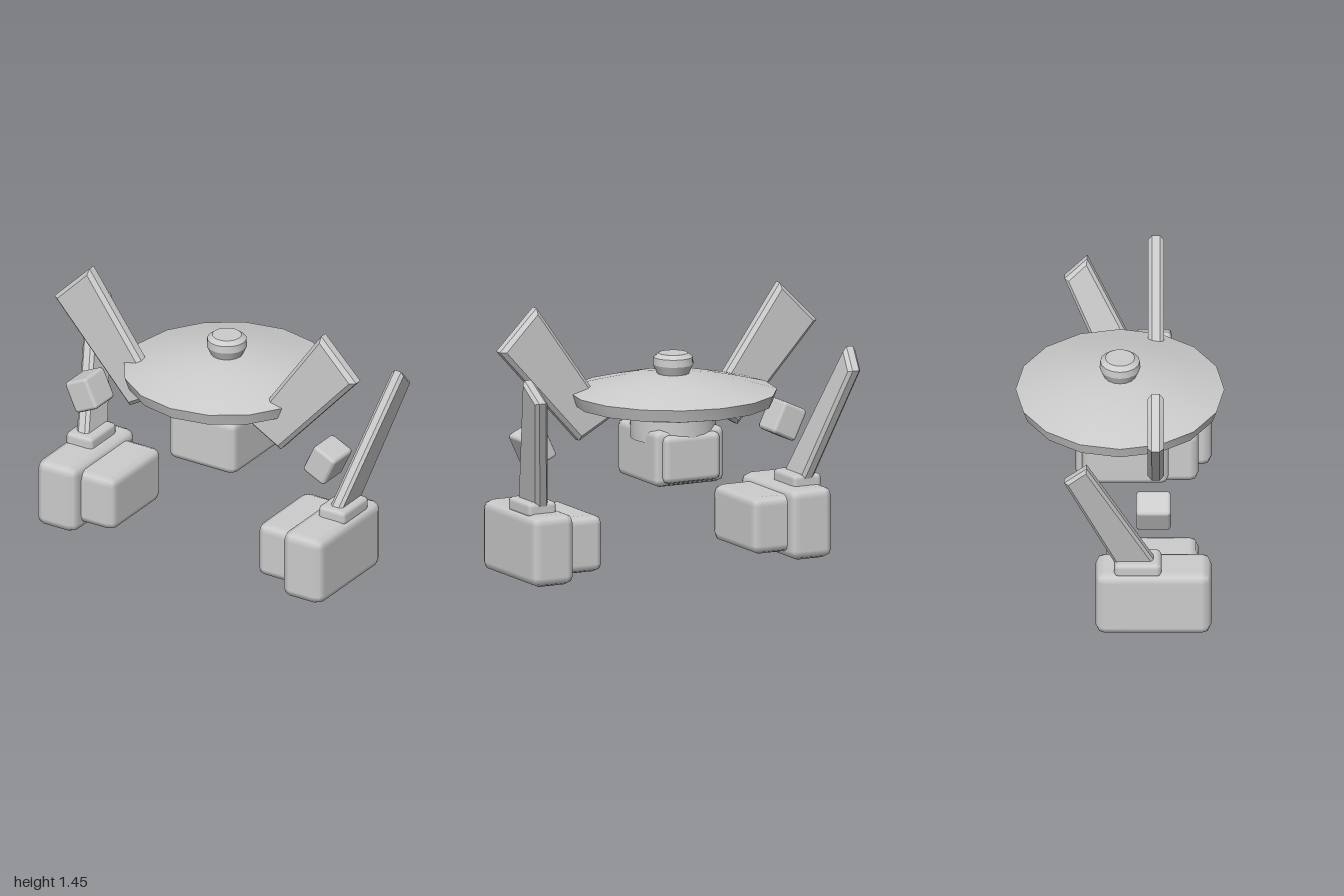
import * as THREE from 'three';
import { toCreasedNormals } from 'three/addons/utils/BufferGeometryUtils.js';
import { RoundedBoxGeometry } from 'three/addons/geometries/RoundedBoxGeometry.js';

const grey = new THREE.MeshStandardMaterial({ color: 0xcccccc });
grey.name = 'light grey';

// Chamfered box given by its limits on each axis
function block([x0, x1], [y0, y1], [z0, z1], radius) {
  const g = new RoundedBoxGeometry(x1 - x0, y1 - y0, z1 - z0, 1, radius);
  return g.translate((x0 + x1) / 2, (y0 + y1) / 2, (z0 + z1) / 2);
}

// Flat bevelled slab from an outline, centred on its own thickness
function slab(points, thickness, bevel) {
  const shape = new THREE.Shape(points.map(([x, y]) => new THREE.Vector2(x, y)));
  const g = new THREE.ExtrudeGeometry(shape, {
    depth: thickness - 2 * bevel, bevelThickness: bevel, bevelSize: bevel,
    bevelOffset: -bevel, bevelSegments: 1,
  });
  return g.translate(0, 0, bevel - thickness / 2);
}

function lathe(points, segments) {
  const g = new THREE.LatheGeometry(points.map(([r, y]) => new THREE.Vector2(r, y)), segments);
  return toCreasedNormals(g, 0.45);
}

// Mirror across x and restore the corner order
function mirrored(geometry) {
  const g = geometry.index ? geometry.toNonIndexed() : geometry.clone();
  g.scale(-1, 1, 1);
  for (const a of [g.attributes.position, g.attributes.normal]) {
    const v = a.array;
    for (let i = 0; i < v.length; i += 9) {
      for (let k = 0; k < 3; k++) [v[i + 3 + k], v[i + 6 + k]] = [v[i + 6 + k], v[i + 3 + k]];
    }
  }
  return g;
}

// Leaning leg: side outline (-z, y) sheared outwards as it rises
function legGeometry() {
  const g = slab([[-0.2, 0.4], [0.02, 0.4], [0.295, 1.035], [0.175, 1.145]], 0.075, 0.018);
  g.rotateY(Math.PI / 2);
  const p = g.attributes.position;
  for (let i = 0; i < p.count; i++) p.setX(i, p.getX(i) + 0.8 + (p.getY(i) - 0.44) * 0.235);
  g.computeVertexNormals();
  return g;
}

export function createModel() {
  const model = new THREE.Group();
  model.name = 'walkingMachine';
  const add = (name, geometry) => {
    const mesh = new THREE.Mesh(geometry, grey);
    mesh.name = name;
    model.add(mesh);
  };
  const addPair = (name, geometry) => {
    add(name + 'Left', geometry);
    add(name + 'Right', mirrored(geometry));
  };

  // Central saucer, knob, neck and body
  add('saucer', lathe([[0, 0.84], [0.2, 0.842], [0.34, 0.86], [0.53, 0.9], [0.553, 0.967],
    [0.4, 1.008], [0.27, 1.038], [0.13, 1.06], [0, 1.065]], 16));
  add('knob', lathe([[0.08, 1.05], [0.108, 1.11], [0.105, 1.15], [0.078, 1.171], [0, 1.171]], 16));
  add('neck', lathe([[0, 0.72], [0.23, 0.72], [0.23, 0.85], [0, 0.85]], 20));
  add('body', block([-0.21, 0.21], [0.49, 0.795], [-0.2, 0.258], 0.04));
  add('backPlate', block([-0.17, 0.17], [0.51, 0.77], [-0.235, -0.13], 0.035));

  // Raised wing panels
  addPair('wingPanel', slab([[0.28, 0.82], [0.475, 0.71], [0.95, 1.23], [0.73, 1.45]], 0.086, 0.022)
    .translate(0, 0, 0.19));

  // Tilted cubes beside the legs
  addPair('sideCube', block([-0.075, 0.075], [-0.09, 0.09], [-0.093, 0.093], 0.02)
    .rotateZ(-0.44).translate(0.75, 0.71, 0.178));

  // Legs, ankles and feet
  addPair('leg', legGeometry());
  addPair('ankle', block([0.71, 0.88], [0.36, 0.442], [-0.03, 0.22], 0.025));
  addPair('outerFoot', block([0.65, 0.9], [0, 0.383], [-0.13, 0.485], 0.05));
  addPair('innerFoot', block([0.45, 0.7], [0.042, 0.347], [-0.07, 0.415], 0.045));
  // Rear heel rise beside the inner foot
  addPair('heel', block([0.53, 0.7], [0.06, 0.33], [0.0, 0.08], 0.03));
  return model;
}
